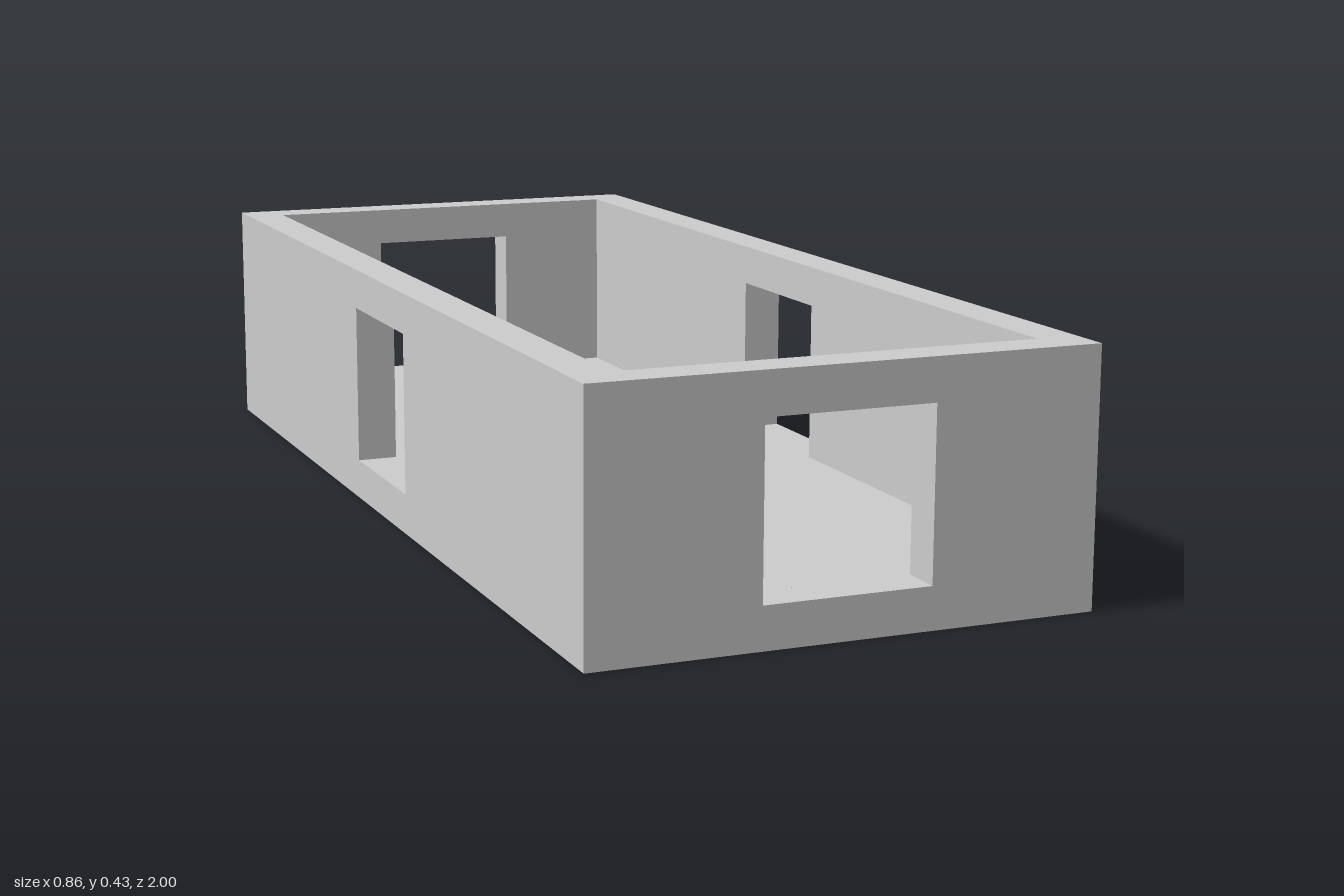
import * as THREE from 'three';

const T = 1 / 14;                      // wall and floor thickness
const X = 6 * T, Z = 1, H = 6 * T;     // half width, half length, height
const W = 2 * T;                       // half size of the square windows

const rect = (Type, x0, y0, x1, y1) => new Type([
  new THREE.Vector2(x0, y0), new THREE.Vector2(x1, y0),
  new THREE.Vector2(x1, y1), new THREE.Vector2(x0, y1),
]);

export function createModel() {
  const model = new THREE.Group();
  const material = new THREE.MeshStandardMaterial({ color: 0xcccccc });
  const add = (parent, name, geometry) => {
    const mesh = new THREE.Mesh(geometry, material);
    mesh.name = name;
    parent.add(mesh);
  };

  // One wall facing +z: half length, distance of its outer face from the centre
  const wall = (name, half, distance, turn) => {
    const group = new THREE.Group();
    group.name = name;

    const outer = rect(THREE.Shape, -half, 0, half, H);
    outer.holes.push(rect(THREE.Path, -W, T, W, T + 2 * W));
    add(group, 'outerFace', new THREE.ShapeGeometry(outer).translate(0, 0, distance));

    // The window reaches down to the floor on the inside
    const i = half - T;
    const inner = new THREE.Shape([
      [-i, T], [-W, T], [-W, T + 2 * W], [W, T + 2 * W],
      [W, T], [i, T], [i, H], [-i, H],
    ].map(([x, y]) => new THREE.Vector2(x, y)));
    add(group, 'innerFace', new THREE.ShapeGeometry(inner).rotateY(Math.PI).translate(0, 0, distance - T));

    // Sill, jambs and lintel of the window
    ['sill', 'rightJamb', 'lintel', 'leftJamb'].forEach((part, k) => {
      add(group, part, new THREE.PlaneGeometry(2 * W, T).rotateX(-Math.PI / 2)
        .translate(0, -W, 0).rotateZ(k * Math.PI / 2).translate(0, T + W, distance - T / 2));
    });

    group.rotation.y = turn;
    model.add(group);
  };
  wall('frontWall', X, Z, 0);
  wall('leftWall', Z, X, Math.PI / 2);
  wall('backWall', X, Z, Math.PI);
  wall('rightWall', Z, X, -Math.PI / 2);

  // Flat top of the walls
  const rim = rect(THREE.Shape, -X, -Z, X, Z);
  rim.holes.push(rect(THREE.Path, T - X, T - Z, X - T, Z - T));
  add(model, 'rim', new THREE.ShapeGeometry(rim).rotateX(-Math.PI / 2).translate(0, H, 0));

  // Floor and underside
  add(model, 'floor', new THREE.PlaneGeometry(2 * (X - T), 2 * (Z - T)).rotateX(-Math.PI / 2).translate(0, T, 0));
  add(model, 'underside', new THREE.PlaneGeometry(2 * X, 2 * Z).rotateX(Math.PI / 2));

  return model;
}
